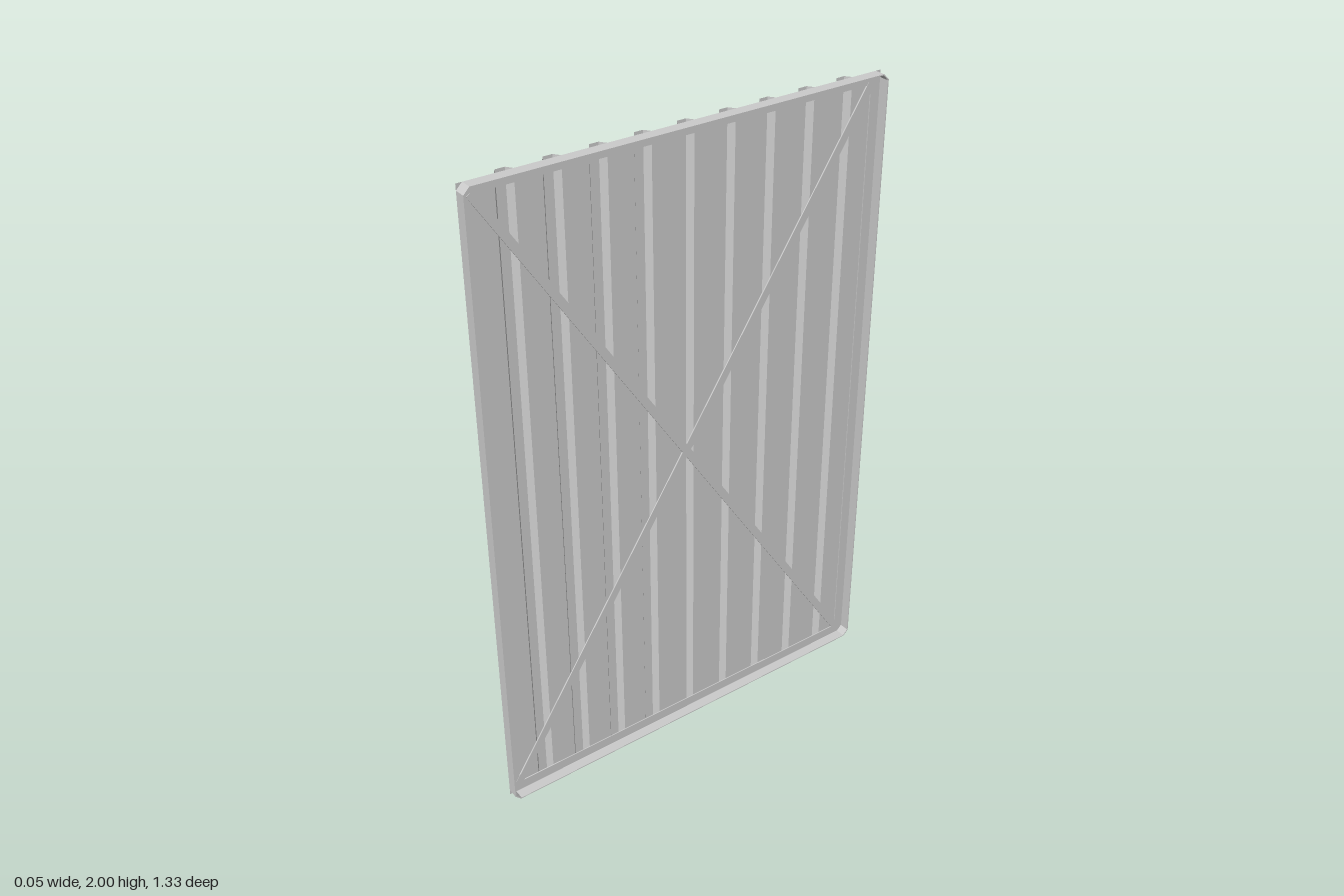
import * as THREE from 'three';

const HALF_W = 0.665, H = 2;          // panel half width (z) and height (y)
const FLAT = -0.008, RIDGE = -0.027, RIM = 0.027; // x levels
const material = new THREE.MeshStandardMaterial({ color: 0xcccccc, flatShading: true, side: THREE.DoubleSide });

// Rectangle inset from the panel outline, with cut corners
function outline(Type, inset, cut) {
  const w = HALF_W - inset, y0 = inset, y1 = H - inset;
  return new Type([
    [-w + cut, y0], [w - cut, y0], [w, y0 + cut], [w, y1 - cut],
    [w - cut, y1], [-w + cut, y1], [-w, y1 - cut], [-w, y0 + cut],
  ].map(([a, b]) => new THREE.Vector2(a, b)));
}

// Extruded ring standing on the flat of the sheet, facing +x
function ring(name, inset, width, depth) {
  const shape = outline(THREE.Shape, inset, 0.018);
  shape.holes.push(outline(THREE.Path, inset + width, 0.017));
  const geometry = new THREE.ExtrudeGeometry(shape, { depth, bevelEnabled: false });
  geometry.rotateY(Math.PI / 2).translate(FLAT, 0, 0);
  const mesh = new THREE.Mesh(geometry, material);
  mesh.name = name;
  return mesh;
}

// Sheet with trapezoid ribs pressed toward -x
function corrugatedSheet() {
  const profile = [[FLAT, -HALF_W]];
  for (let i = -4; i <= 4; i++) {
    const z = i * 0.1337;
    profile.push([FLAT, z - 0.027], [RIDGE, z - 0.014], [RIDGE, z + 0.014], [FLAT, z + 0.027]);
  }
  profile.push([FLAT, HALF_W]);
  const positions = [], indices = [];
  profile.forEach(([x, z], i) => {
    positions.push(x, 0, z, x, H, z);
    if (i) {
      const a = 2 * (i - 1);
      indices.push(a, a + 1, a + 2, a + 1, a + 3, a + 2);
    }
  });
  const geometry = new THREE.BufferGeometry();
  geometry.setAttribute('position', new THREE.Float32BufferAttribute(positions, 3));
  geometry.setIndex(indices);
  geometry.computeVertexNormals();
  const mesh = new THREE.Mesh(geometry, material);
  mesh.name = 'corrugatedSheet';
  return mesh;
}

export function createModel() {
  const group = new THREE.Group();
  group.name = 'corrugatedPanel';
  group.add(corrugatedSheet());

  // Angle frame: flat flange on the sheet and an upright rim around it
  group.add(ring('frameFlange', 0, 0.035, 0.003));
  group.add(ring('frameRim', 0, 0.003, RIM - FLAT));

  // Crossed flat braces
  const dz = 0.632, dy = 0.968;
  for (const side of [-1, 1]) {
    const brace = new THREE.Mesh(new THREE.BoxGeometry(0.004, 2 * Math.hypot(dz, dy), 0.025), material);
    brace.position.set(FLAT + 0.002, H / 2, 0);
    brace.rotation.x = side * Math.atan2(dz, dy);
    brace.name = side > 0 ? 'braceRising' : 'braceFalling';
    group.add(brace);
  }
  return group;
}
